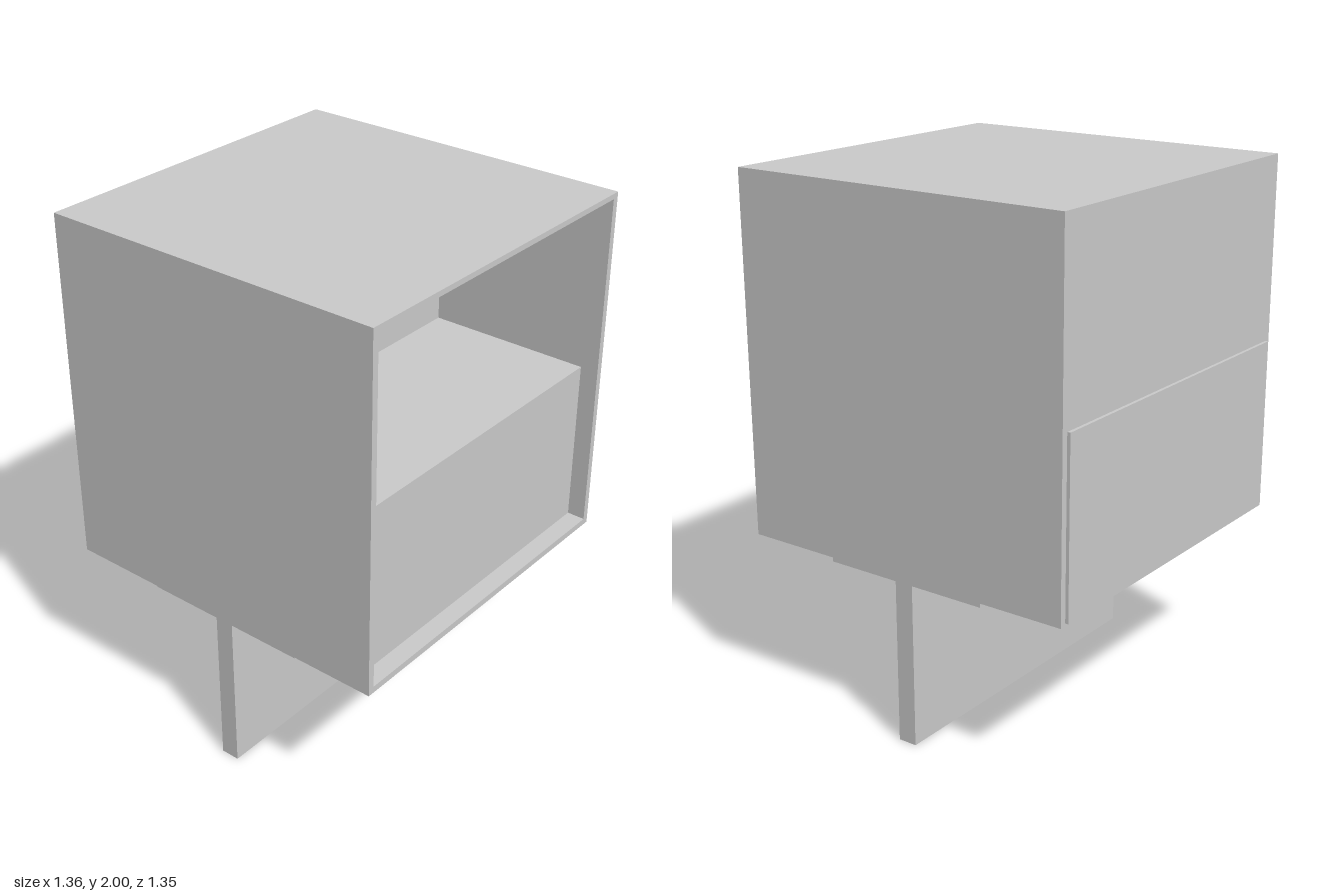
import * as THREE from 'three';

export function createModel() {
  const model = new THREE.Group();
  const material = new THREE.MeshStandardMaterial({ color: 0xcccccc });

  const add = (name, geometry, x = 0, y = 0, z = 0) => {
    const mesh = new THREE.Mesh(geometry, material);
    mesh.name = name;
    mesh.position.set(x, y, z);
    model.add(mesh);
    return mesh;
  };
  // Box given by its lower and upper limits on each axis
  const block = (name, [x0, x1], [y0, y1], [z0, z1]) =>
    add(name, new THREE.BoxGeometry(x1 - x0, y1 - y0, z1 - z0),
      (x0 + x1) / 2, (y0 + y1) / 2, (z0 + z1) / 2);

  // Closed half of the cabinet, its inner face is the back of the open bay
  block('closedHalf', [-0.67, -0.035], [0.65, 2], [-0.675, 0.675]);

  // Open half: a thin-walled square sleeve running along x
  const sleeve = new THREE.Shape();
  sleeve.moveTo(-0.675, 0.65).lineTo(0.675, 0.65).lineTo(0.675, 2).lineTo(-0.675, 2).closePath();
  const opening = new THREE.Path();
  opening.moveTo(-0.65, 0.675).lineTo(-0.65, 1.98).lineTo(0.65, 1.98).lineTo(0.65, 0.675).closePath();
  sleeve.holes.push(opening);
  const sleeveGeometry = new THREE.ExtrudeGeometry(sleeve, { depth: 0.715, bevelEnabled: false });
  sleeveGeometry.rotateY(Math.PI / 2);
  add('openBayWalls', sleeveGeometry, -0.035);

  // Drawer inside the bay and drawer panel on the opposite side
  block('innerDrawer', [-0.035, 0.61], [0.675, 1.31], [-0.65, 0.65]);
  block('drawerPanel', [-0.682, -0.66], [0.66, 1.31], [-0.65, 0.65]);

  // Mounting plate and upright blade that carry the cabinet
  block('mountingPlate', [-0.325, 0.335], [0.62, 0.65], [-0.65, 0.65]);
  block('standBlade', [-0.03, 0.043], [0, 0.62], [-0.65, 0.65]);

  // Row of round joints between blade and plate
  for (const z of [0.35, -0.015, -0.375]) {
    add('roundJoint', new THREE.SphereGeometry(0.078, 32, 20), 0.014, 0.618, z);
  }

  return model;
}
